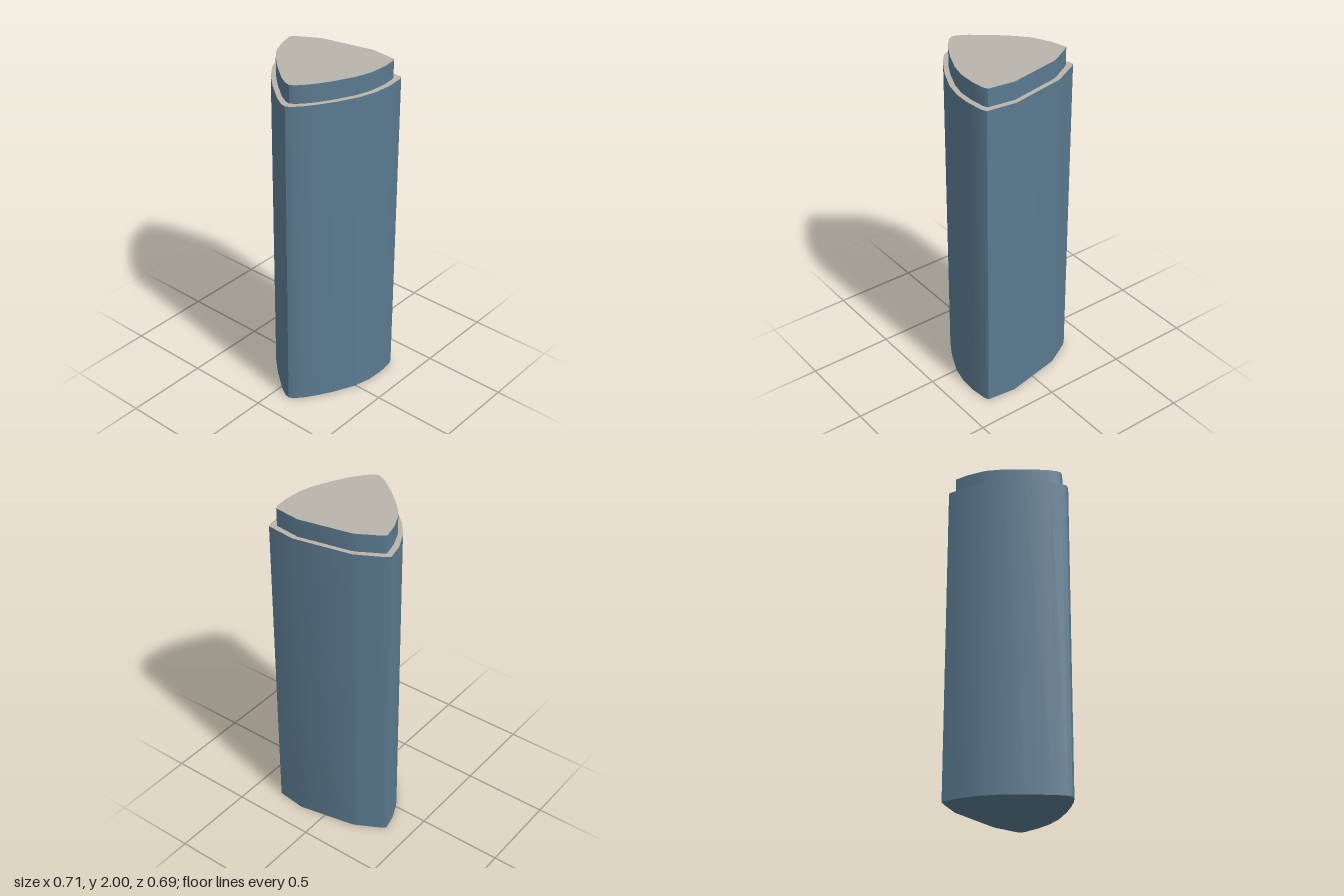
import * as THREE from 'three';
import { toCreasedNormals } from 'three/addons/utils/BufferGeometryUtils.js';

// Plan outlines as [x, z]; the upper step is a slightly inset copy
const BODY = [
  [-0.355, -0.18], [-0.33, -0.2], [-0.21, -0.265], [-0.18, -0.28], [0.157, -0.347], [0.33, -0.327],
  [0.342, -0.3], [0.353, -0.2], [0.347, -0.095], [0.322, 0.005], [0.265, 0.13], [0.215, 0.215],
  [0.173, 0.278], [0.13, 0.328], [0.1, 0.345], [0.07, 0.338], [0.01, 0.303], [-0.11, 0.208],
  [-0.2, 0.125], [-0.265, 0.045], [-0.285, 0.015], [-0.33, -0.08],
];
const STEP = [
  [-0.317, -0.165], [-0.295, -0.182], [-0.19, -0.243], [-0.16, -0.256], [0.145, -0.317], [0.3, -0.298],
  [0.312, -0.275], [0.321, -0.19], [0.316, -0.09], [0.292, 0], [0.24, 0.115], [0.195, 0.195],
  [0.16, 0.245], [0.12, 0.29], [0.093, 0.305], [0.065, 0.299], [0.01, 0.268], [-0.1, 0.18],
  [-0.185, 0.1], [-0.24, 0.035], [-0.255, 0.01], [-0.293, -0.075],
];

export function createModel() {
  const wall = new THREE.MeshStandardMaterial({ name: 'slate blue wall', color: 0x5b7a90 });
  const roof = new THREE.MeshStandardMaterial({ name: 'warm grey roof', color: 0xb8b3ab });
  const model = new THREE.Group();
  model.name = 'tower';

  // Upright prism with blue walls and underside and a grey top
  function prism(name, outline, bottom, top) {
    const shape = new THREE.Shape(outline.map(([x, z]) => new THREE.Vector2(x, -z)));
    let geometry = new THREE.ExtrudeGeometry(shape, { depth: top - bottom, bevelEnabled: false });
    geometry.rotateX(-Math.PI / 2);
    geometry.translate(0, bottom, 0);
    geometry = toCreasedNormals(geometry, 0.65);
    // The lower cap comes first, then the upper cap, then the walls
    const cap = (outline.length - 2) * 3;
    geometry.clearGroups();
    geometry.addGroup(0, cap, 0);
    geometry.addGroup(cap, cap, 1);
    geometry.addGroup(cap * 2, geometry.attributes.position.count - cap * 2, 0);
    const mesh = new THREE.Mesh(geometry, [wall, roof]);
    mesh.name = name;
    model.add(mesh);
  }

  prism('towerBody', BODY, 0, 1.895);
  prism('setbackTop', STEP, 1.895, 2);
  return model;
}
